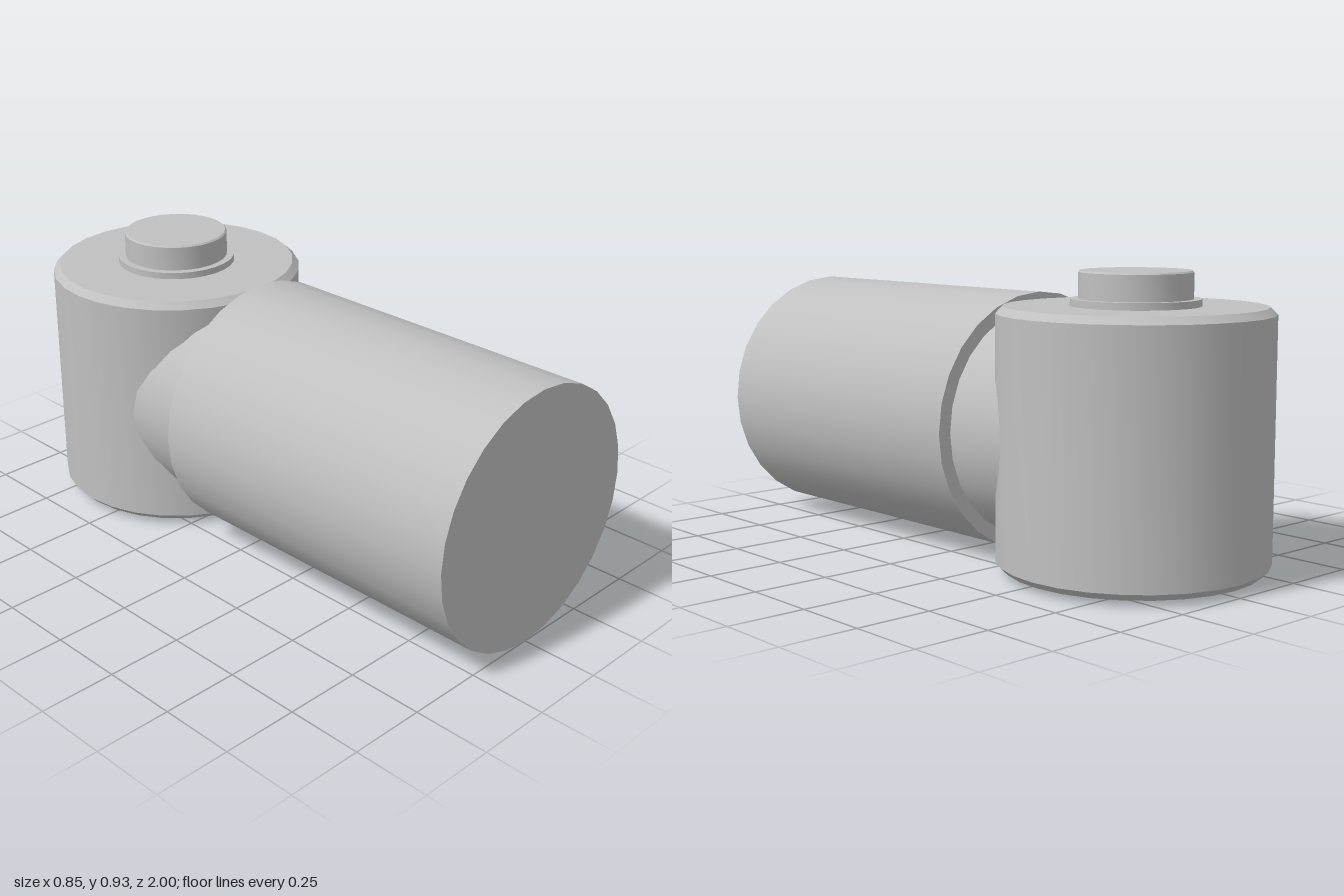
import * as THREE from 'three';
import { toCreasedNormals } from 'three/addons/utils/BufferGeometryUtils.js';

const SIDES = 28;
const HEAD_Z = -0.575;
const AXIS_Y = 0.422;

// Closed solid of revolution from [radius, height] pairs, bottom to top
function turned(name, profile, material) {
  const points = profile.map(([r, y]) => new THREE.Vector2(r, y));
  const geometry = toCreasedNormals(new THREE.LatheGeometry(points, SIDES), 0.5);
  const mesh = new THREE.Mesh(geometry, material);
  mesh.name = name;
  return mesh;
}

export function createModel() {
  const model = new THREE.Group();
  model.name = 'angledHousing';
  const grey = new THREE.MeshStandardMaterial({ color: 0xc0c0c0 });
  grey.name = 'plain grey';

  // Horizontal barrel with a stepped-down neck running into the head
  const barrel = turned('barrel', [[0, -0.15], [0.422, -0.15], [0.422, 1], [0, 1]], grey);
  const neck = turned('neck', [[0, -0.55], [0.377, -0.55], [0.377, -0.14], [0, -0.14]], grey);
  for (const part of [barrel, neck]) {
    part.rotation.x = Math.PI / 2;
    part.position.y = AXIS_Y;
    model.add(part);
  }

  // Upright head with chamfered rims
  const head = turned('head', [
    [0, 0.017], [0.403, 0.017], [0.425, 0.039],
    [0.425, 0.801], [0.403, 0.823], [0, 0.823],
  ], grey);

  // Collar and button on top of the head
  const collar = turned('collar', [[0, 0.815], [0.2, 0.815], [0.2, 0.845], [0, 0.845]], grey);
  const button = turned('button', [
    [0, 0.835], [0.175, 0.835], [0.175, 0.925], [0.17, 0.93], [0, 0.93],
  ], grey);
  for (const part of [head, collar, button]) {
    part.position.z = HEAD_Z;
    model.add(part);
  }
  return model;
}
